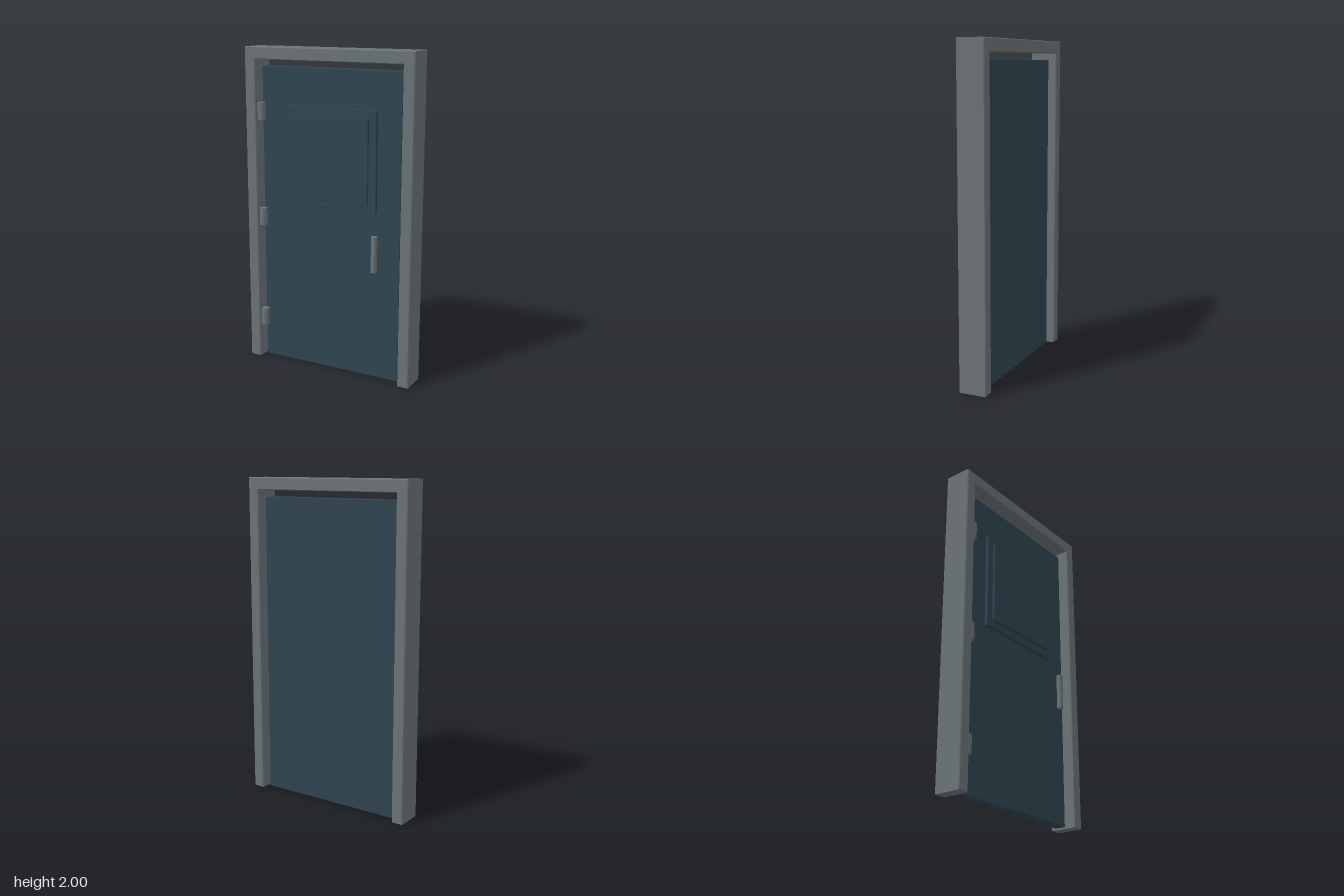
import * as THREE from 'three';
import { RoundedBoxGeometry } from 'three/addons/geometries/RoundedBoxGeometry.js';

export function createModel() {
  const model = new THREE.Group();
  model.name = 'door';
  const metal = new THREE.MeshStandardMaterial({ color: 0x6b7376 });
  metal.name = 'grey metal';
  const paint = new THREE.MeshStandardMaterial({ color: 0x2f444f });
  paint.name = 'dark blue paint';

  const add = (name, geometry, material) => {
    const mesh = new THREE.Mesh(geometry, material);
    mesh.name = name;
    model.add(mesh);
    return mesh;
  };

  // Box given by its limits on each axis, with slightly eased edges
  const slab = (name, [x0, x1], [y0, y1], [z0, z1], radius) => {
    const geometry = new RoundedBoxGeometry(x1 - x0, y1 - y0, z1 - z0, 1, radius);
    add(name, geometry, paint).position.set((x0 + x1) / 2, (y0 + y1) / 2, (z0 + z1) / 2);
  };

  // Upright rod standing on y0
  const rod = (name, radius, x, y0, y1, z) => {
    const geometry = new THREE.CylinderGeometry(radius, radius, y1 - y0, 24);
    add(name, geometry, metal).position.set(x, (y0 + y1) / 2, z);
  };

  // Frame: two jambs and a lintel in one piece with a small bevel
  const b = 0.004;
  const outline = [
    [-0.56 + b, b], [-0.49 - b, b], [-0.49 - b, 1.926 + b], [0.49 + b, 1.926 + b],
    [0.49 + b, b], [0.56 - b, b], [0.56 - b, 2 - b], [-0.56 + b, 2 - b],
  ].map(([x, y]) => new THREE.Vector2(x, y));
  const frame = new THREE.ExtrudeGeometry(new THREE.Shape(outline), {
    depth: 0.17 - 2 * b, bevelEnabled: true, bevelSize: b, bevelThickness: b, bevelSegments: 1,
  });
  add('frame', frame, metal).position.z = -0.105 + b;

  // Door leaf with a stepped raised panel
  slab('leaf', [-0.47, 0.466], [0.004, 1.884], [-0.06, 0.01], 0.004);
  slab('panelBorder', [-0.316, 0.314], [1.046, 1.657], [0, 0.03], 0.003);
  slab('panelCentre', [-0.27, 0.266], [1.094, 1.61], [0.02, 0.045], 0.003);

  // Hinges and handle
  for (const y of [0.22, 0.89, 1.557]) rod('hinge', 0.025, -0.467, y, y + 0.108, 0.03);
  rod('handle', 0.019, 0.335, 0.707, 0.927, 0.085);

  return model;
}
